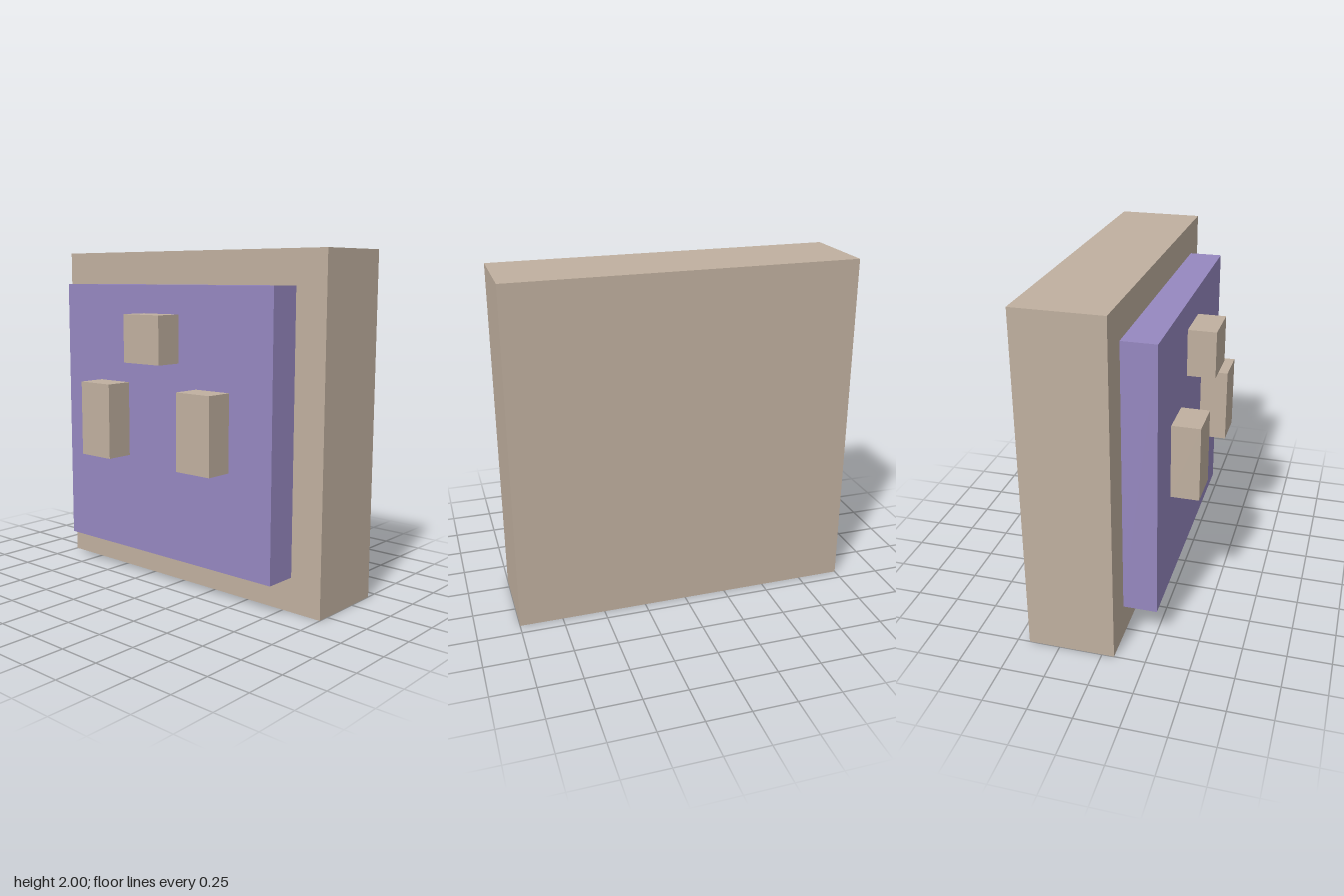
import * as THREE from 'three';

const beige = new THREE.MeshStandardMaterial({ color: 0xc0b09f });
const purple = new THREE.MeshStandardMaterial({ color: 0x9688c0 });

// Box given by its lower and upper limits on each axis
function block(name, material, [x0, x1], [y0, y1], [z0, z1]) {
  const mesh = new THREE.Mesh(new THREE.BoxGeometry(x1 - x0, y1 - y0, z1 - z0), material);
  mesh.name = name;
  mesh.position.set((x0 + x1) / 2, (y0 + y1) / 2, (z0 + z1) / 2);
  return mesh;
}

export function createModel() {
  const model = new THREE.Group();
  model.name = 'plug';

  const back = -0.43, bodyFront = 0.07, panelFront = 0.265, prongFront = 0.43;

  // Square body and the raised panel on its front
  model.add(block('body', beige, [-1, 1], [0, 2], [back, bodyFront]));
  model.add(block('frontPanel', purple, [-0.805, 0.805], [0.2, 1.805], [bodyFront, panelFront]));

  // Square prong at the top, with a pair of tall prongs below it
  const prongDepth = [panelFront, prongFront];
  model.add(block('topProng', beige, [-0.138, 0.138], [1.363, 1.64], prongDepth));
  model.add(block('leftProng', beige, [0.27, 0.51], [0.78, 1.225], prongDepth));
  model.add(block('rightProng', beige, [-0.51, -0.27], [0.78, 1.225], prongDepth));

  return model;
}
